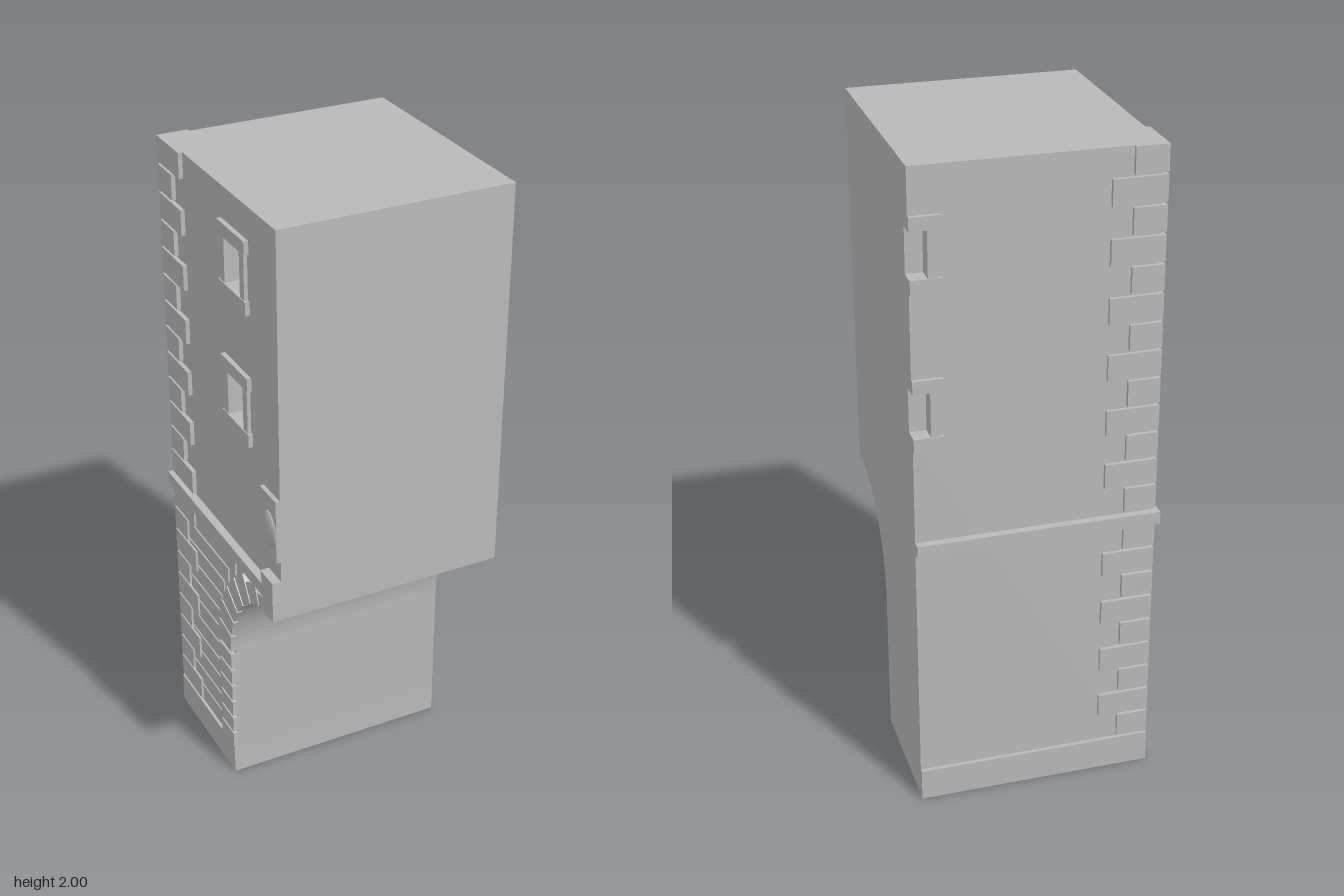
import * as THREE from 'three';
import { toCreasedNormals } from 'three/addons/utils/BufferGeometryUtils.js';

export function createModel() {
  const model = new THREE.Group();
  model.name = 'gateTower';
  const stone = new THREE.MeshStandardMaterial({ color: 0xb8b8b8 });
  stone.name = 'stone';

  const R = 0.365, L = -0.34, B = -0.36, F = 0.385; // wall planes
  const DEPTH = 0.04;                               // window recess
  const ARCH = { z: F, y: 0.47, r: 0.335 };

  function add(name, geo, parent = model) {
    const m = new THREE.Mesh(geo, stone);
    m.name = name;
    parent.add(m);
    return m;
  }
  function group(name) {
    const g = new THREE.Group();
    g.name = name;
    model.add(g);
    return g;
  }
  function box(name, x0, x1, y0, y1, z0, z1, parent) {
    const g = new THREE.BoxGeometry(x1 - x0, y1 - y0, z1 - z0);
    g.translate((x0 + x1) / 2, (y0 + y1) / 2, (z0 + z1) / 2);
    return add(name, g, parent);
  }
  // Extrude a (z, y) outline between two x planes
  function extrudeX(name, shape, x0, x1, parent) {
    const g = new THREE.ExtrudeGeometry(shape, { depth: x1 - x0, bevelEnabled: false, curveSegments: 32 });
    g.rotateY(-Math.PI / 2);
    g.translate(x1, 0, 0);
    return add(name, toCreasedNormals(g, 0.4), parent);
  }
  const outline = pts => new THREE.Shape(pts.map(p => new THREE.Vector2(p[0], p[1])));

  // Side outline with the half arch cut under the front
  function sideProfile() {
    const s = new THREE.Shape();
    s.moveTo(B + DEPTH, 0);
    s.lineTo(ARCH.z - ARCH.r, 0);
    s.lineTo(ARCH.z - ARCH.r, ARCH.y);
    s.absarc(ARCH.z, ARCH.y, ARCH.r, Math.PI, Math.PI / 2, true);
    s.lineTo(F, 2);
    s.lineTo(B + DEPTH, 2);
    s.closePath();
    return s;
  }

  // Window openings: lower edges, shared size
  const OPEN_H = 0.135, OPEN_W = 0.1, SIDE_Z = 0.128;
  const backWindows = [1.69, 1.222], sideWindows = [1.73, 1.325];

  // Core and the two window walls
  extrudeX('towerCore', sideProfile(), L + DEPTH, R);
  const side = sideProfile();
  for (const y of sideWindows) {
    const z0 = SIDE_Z - OPEN_W / 2, z1 = SIDE_Z + OPEN_W / 2;
    side.holes.push(new THREE.Path([[z0, y], [z0, y + OPEN_H], [z1, y + OPEN_H], [z1, y]]
      .map(p => new THREE.Vector2(p[0], p[1]))));
  }
  extrudeX('sideWall', side, L, L + DEPTH);

  const back = [[L, 0], [R, 0]];
  for (const y of [...backWindows].reverse()) {
    const x = R - OPEN_W / 2;
    back.push([R, y], [x, y], [x, y + OPEN_H], [R, y + OPEN_H]);
  }
  back.push([R, 2], [L, 2]);
  const backGeo = new THREE.ExtrudeGeometry(outline(back), { depth: DEPTH, bevelEnabled: false });
  backGeo.translate(0, 0, B);
  add('backWall', backGeo);

  // Window frames: sill, lintel and jambs
  const frames = group('windowFrames');
  for (const y of sideWindows) {
    const x0 = L - 0.014, t = y + OPEN_H;
    box('sill', x0, L, y - 0.04, y, SIDE_Z - 0.088, SIDE_Z + 0.088, frames);
    box('lintel', x0, L, t, t + 0.04, SIDE_Z - 0.088, SIDE_Z + 0.088, frames);
    for (const s of [-1, 1]) {
      const a = SIDE_Z + s * 0.05, b = SIDE_Z + s * 0.078;
      box('jamb', x0 + 0.003, L, y, t, Math.min(a, b), Math.max(a, b), frames);
    }
  }
  for (const y of backWindows) {
    const z0 = B - 0.013, t = y + OPEN_H;
    box('sill', R - 0.088, R, y - 0.042, y, z0, B, frames);
    box('lintel', R - 0.088, R, t, t + 0.04, z0, B, frames);
    box('jamb', R - 0.078, R - 0.05, y, t, z0 + 0.003, B, frames);
  }

  // Plinth and string course wrap the back and the side
  const QX = -0.353, QZ = -0.372;
  const bands = group('bands');
  box('plinthBack', -0.355, R, 0, 0.1, QZ, B, bands);
  box('plinthSide', -0.355, L, 0, 0.1, B, 0.05, bands);
  box('stringCourseBack', -0.365, R, 0.85, 0.89, -0.385, B, bands);
  box('stringCourseSide', -0.365, L, 0.85, 0.89, B, 0.32, bands);

  // Corner quoins, alternating long and short on each face
  const quoins = group('quoins');
  function quoinStack(top, bottom, count) {
    const h = (top - bottom) / count;
    for (let i = 0; i < count; i++) {
      const y1 = top - i * h, y0 = y1 - h + 0.008;
      const odd = i % 2 === 1;
      box('quoinBack', QX, odd ? -0.195 : -0.257, y0, y1, QZ, B, quoins);
      box('quoinSide', QX, L, y0, y1, B, odd ? -0.275 : -0.215, quoins);
    }
  }
  quoinStack(2, 0.89, 13);
  quoinStack(0.85, 0.1, 9);

  // Coursed infill between quoins and arch
  const courses = group('wallCourses');
  const COURSE = 0.067, OUTER = 0.425;
  for (let i = 0; i < 11; i++) {
    const y0 = 0.1 + i * COURSE, y1 = y0 + COURSE - 0.008;
    const dy = Math.max(0, y0 - ARCH.y);
    const z1 = ARCH.z - Math.sqrt(Math.max(0, OUTER * OUTER - dy * dy)) - 0.008;
    box('course', -0.346, L, y0, y1, -0.275, z1, courses);
  }

  // Arch surround: jamb blocks, then wedge stones
  const surround = group('archSurround');
  const jambs = 6, jh = (ARCH.y - 0.1) / jambs;
  for (let i = 0; i < jambs; i++) {
    const y0 = 0.1 + i * jh;
    box('jambBlock', -0.357, L, y0, y0 + jh - 0.009, ARCH.z - OUTER, ARCH.z - ARCH.r, surround);
  }
  const wedges = 7, start = Math.PI / 2 + 0.16, step = (Math.PI - start) / wedges;
  for (let i = 0; i < wedges; i++) {
    const a0 = start + i * step + 0.012, a1 = start + (i + 1) * step - 0.012;
    const s = new THREE.Shape();
    s.absarc(ARCH.z, ARCH.y, OUTER - 0.05 * Math.max(0, 1 - i / 2), a0, a1, false);
    s.absarc(ARCH.z, ARCH.y, ARCH.r, a1, a0, true);
    s.closePath();
    extrudeX('wedgeStone', s, -0.357, L, surround);
  }
  extrudeX('keystone', outline([[0.33, 0.8], [F, 0.805], [F, 0.935], [0.305, 0.935]]), -0.367, L, surround);

  // Plaque with a half boss above the keystone
  const plaque = group('plaque');
  box('plaquePanel', -0.353, L, 1.0, 1.2, 0.283, F, plaque);
  const boss = new THREE.SphereGeometry(1, 20, 12, Math.PI / 2, Math.PI);
  // keep the half facing away from the front cut
  boss.rotateY(-Math.PI / 2);
  boss.scale(0.014, 0.06, 0.055);
  boss.translate(-0.352, 1.09, F - 0.055);
  add('boss', boss, plaque);

  return model;
}
